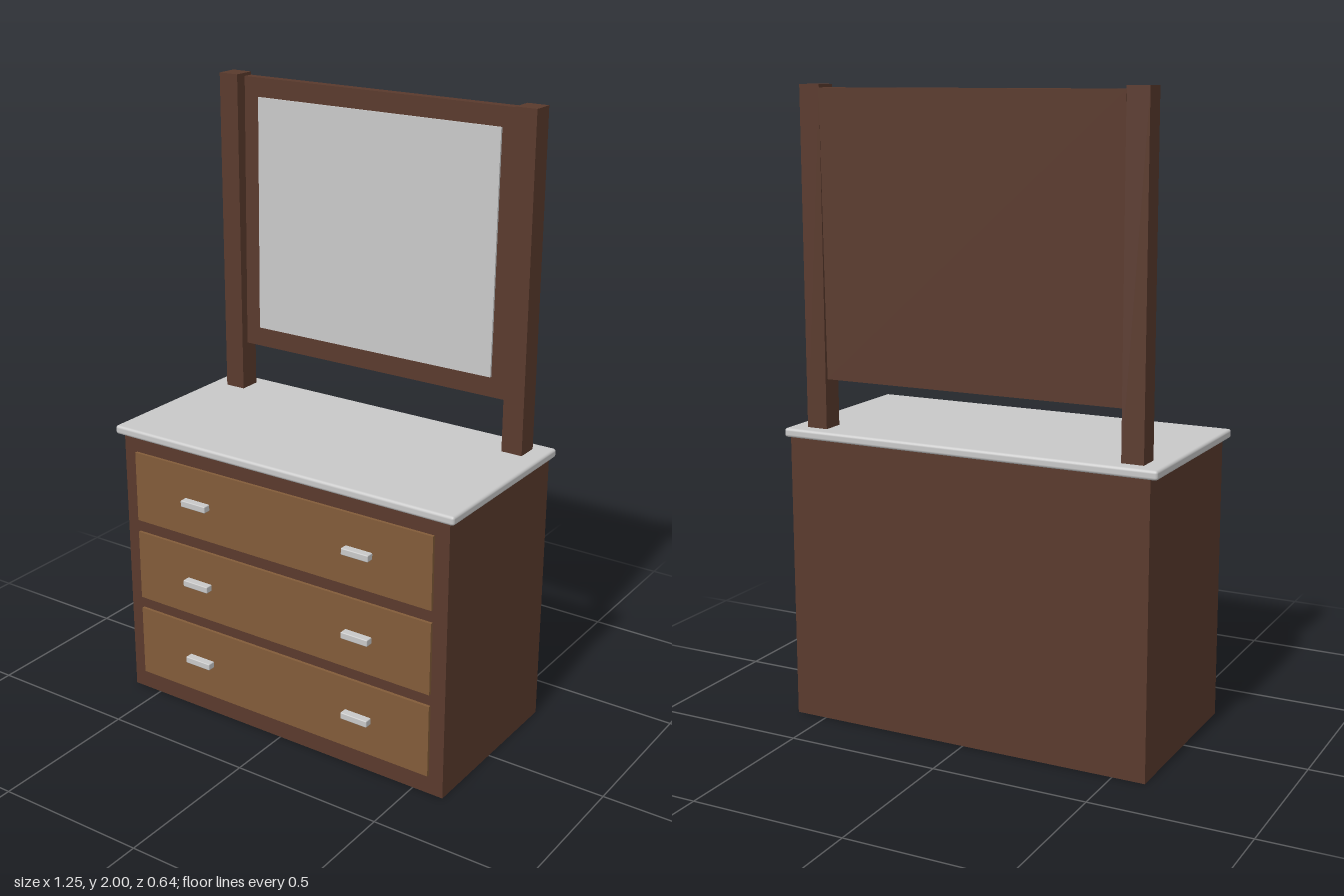
import * as THREE from 'three';
import { RoundedBoxGeometry } from 'three/addons/geometries/RoundedBoxGeometry.js';

export function createModel() {
  const model = new THREE.Group();
  model.name = 'dresserWithMirror';

  const material = (name, color) => {
    const m = new THREE.MeshStandardMaterial({ color });
    m.name = name;
    return m;
  };
  const darkWood = material('darkWood', 0x5a3a2d);
  const lightWood = material('lightWood', 0x825c39);
  const paleGrey = material('paleGrey', 0xc9c9c9);

  // Box given by its lower and upper corners; a radius rounds its edges
  function box(parent, name, mat, [x0, y0, z0], [x1, y1, z1], radius = 0) {
    const size = [x1 - x0, y1 - y0, z1 - z0];
    const geometry = radius
      ? new RoundedBoxGeometry(...size, 2, radius)
      : new THREE.BoxGeometry(...size);
    const mesh = new THREE.Mesh(geometry, mat);
    mesh.name = name;
    mesh.position.set((x0 + x1) / 2, (y0 + y1) / 2, (z0 + z1) / 2);
    parent.add(mesh);
    return mesh;
  }

  // Cabinet and its stone top
  box(model, 'cabinet', darkWood, [-0.605, 0, -0.315], [0.605, 0.917, 0.285]);
  box(model, 'stoneTop', paleGrey, [-0.627, 0.914, -0.32], [0.627, 0.943, 0.305], 0.009);

  // Three drawers, each with two pulls
  [[0.065, 0.305], [0.345, 0.583], [0.625, 0.862]].forEach(([y0, y1]) => {
    const drawer = new THREE.Group();
    drawer.name = 'drawer';
    box(drawer, 'drawerFront', lightWood, [-0.556, y0, 0.275], [0.556, y1, 0.295]);
    const y = (y0 + y1) / 2;
    for (const x of [-0.306, 0.303]) {
      box(drawer, 'drawerPull', paleGrey,
        [x - 0.048, y - 0.011, 0.292], [x + 0.048, y + 0.011, 0.32], 0.003);
    }
    model.add(drawer);
  });

  // Posts that carry the mirror
  for (const side of [-1, 1]) {
    const x = side * 0.533;
    box(model, 'mirrorPost', darkWood, [x - 0.035, 0.94, -0.274], [x + 0.035, 2, -0.202]);
  }

  // Framed mirror, leaning back very slightly between the posts
  const mirror = new THREE.Group();
  mirror.name = 'mirror';
  mirror.position.set(0, 1.545, -0.252);
  mirror.rotation.x = -0.0135;
  box(mirror, 'mirrorFrame', darkWood, [-0.499, -0.445, -0.017], [0.499, 0.445, 0.017]);
  box(mirror, 'mirrorGlass', paleGrey, [-0.44, -0.38, 0.015], [0.438, 0.384, 0.024]);
  model.add(mirror);

  return model;
}
